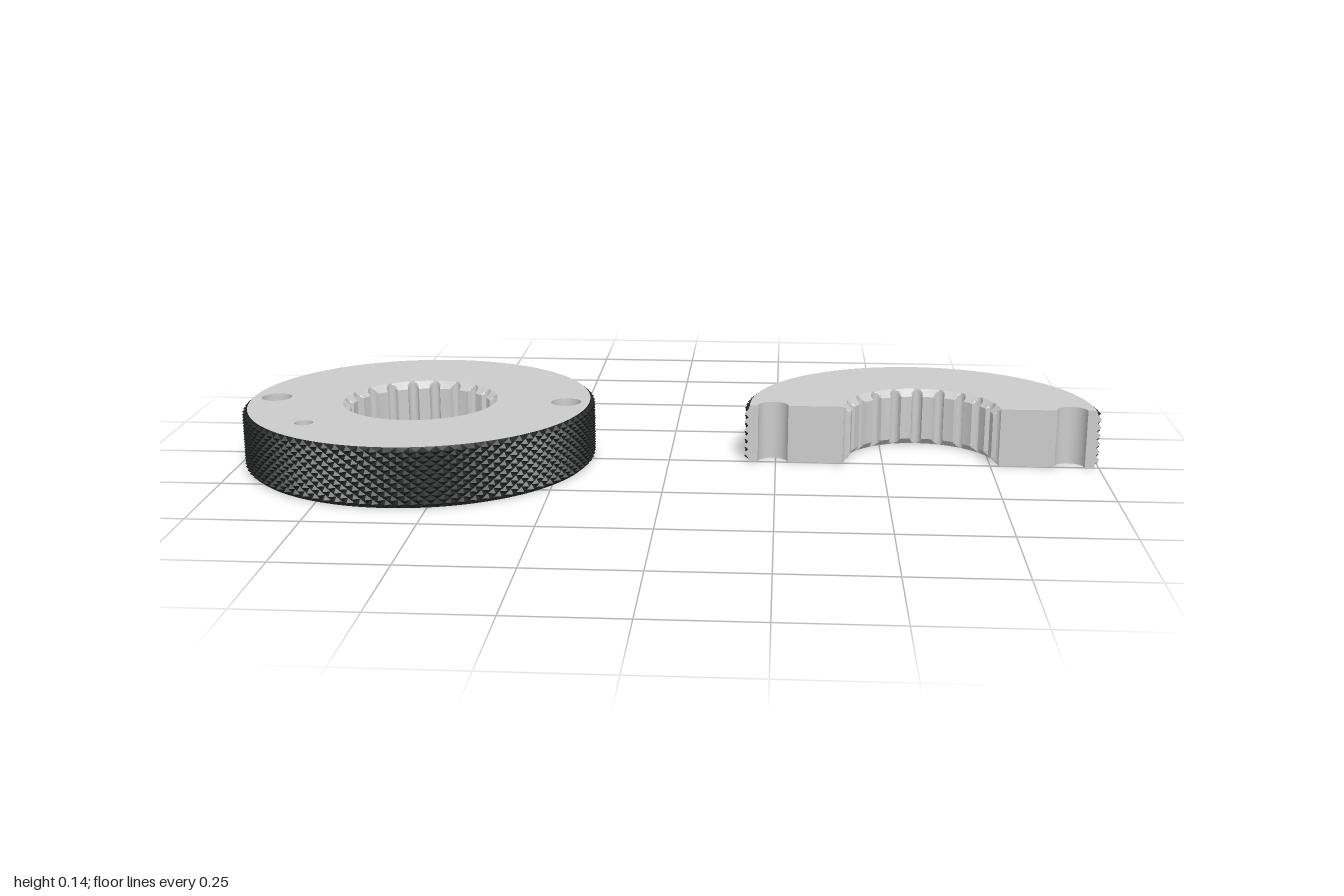
import * as THREE from 'three';

const H = 0.137, RIM = 0.4, PEAK = 0.412, VALLEY = 0.403;
const BORE = 0.181, LAND = 0.165, TEETH = 20;
const HOLE_X = 0.345, HOLE_R = 0.035;
const PIN = { x: -0.222, z: 0.219, r: 0.021, depth: 0.07 };
const STEPS = 180, ROWS = 14; // knurl grid, two steps per diamond

const steel = new THREE.MeshStandardMaterial({ color: 0xcccccc, flatShading: true });
const smoothSteel = new THREE.MeshStandardMaterial({ color: 0xcccccc, side: THREE.DoubleSide });
const black = new THREE.MeshStandardMaterial({ color: 0x222424, flatShading: true });

const rimLevels = Array.from({ length: ROWS + 1 }, (_, j) => (j / ROWS) * H);
const bevel = [0, 0.004, 0.008, 0.012, 0.016];
const boreLevels = [...bevel, ...bevel.map(y => H - y).reverse()];

// Raised diamond peaks on even grid points, chamfered at both ends
function rimRadius(i, j) {
  if (j === 0 || j === ROWS) return RIM;
  return (i + j) % 2 === 0 ? PEAK : VALLEY;
}

// Round grooves between flat lands, with a conical lead-in at both ends
function boreRadius(angle, y) {
  const groove = Math.sqrt(Math.max(0, Math.cos(TEETH * angle)));
  const cone = BORE - Math.min(y, H - y);
  return Math.max(LAND + (BORE - LAND) * groove, cone);
}

// Wall swept around the y axis; the quad diagonals alternate to follow the knurl
function wall(radius, sweep, steps, levels, inward) {
  const pos = [], index = [], w = steps + 1;
  levels.forEach((y, j) => {
    for (let i = 0; i <= steps; i++) {
      const a = (i / steps) * sweep, r = radius(i, j, a, y);
      pos.push(r * Math.cos(a), y, -r * Math.sin(a));
    }
  });
  const tri = (a, b, c) => inward ? index.push(a, c, b) : index.push(a, b, c);
  for (let j = 0; j < levels.length - 1; j++) {
    for (let i = 0; i < steps; i++) {
      const a = j * w + i, b = a + 1, c = b + w, d = a + w;
      if ((i + j) % 2 === 0) { tri(a, b, d); tri(b, c, d); }
      else { tri(a, b, c); tri(a, c, d); }
    }
  }
  const g = new THREE.BufferGeometry();
  g.setAttribute('position', new THREE.Float32BufferAttribute(pos, 3));
  g.setIndex(index);
  g.computeVertexNormals();
  return g;
}

function add(group, name, geometry, material) {
  const mesh = new THREE.Mesh(geometry, material);
  mesh.name = name;
  group.add(mesh);
  return mesh;
}

const circle = (x, y, r) => new THREE.Path().absarc(x, y, r, 0, Math.PI * 2, true);

// Outline of the flat face: whole ring, or half ring with notches
function faceShape(half, pin) {
  const s = new THREE.Shape();
  if (half) {
    s.absarc(0, 0, RIM, 0, Math.PI, false);
    s.absarc(-HOLE_X, 0, HOLE_R, Math.PI, 0, true);
    s.absarc(0, 0, BORE, Math.PI, 0, true);
    s.absarc(HOLE_X, 0, HOLE_R, Math.PI, 0, true);
  } else {
    s.absarc(0, 0, RIM, 0, Math.PI * 2, false);
    s.holes.push(circle(0, 0, BORE), circle(HOLE_X, 0, HOLE_R), circle(-HOLE_X, 0, HOLE_R));
    if (pin) s.holes.push(circle(PIN.x, -PIN.z, PIN.r));
  }
  return s;
}

function makeRing(name, half) {
  const ring = new THREE.Group();
  ring.name = name;
  const part = half ? 0.5 : 1, sweep = Math.PI * 2 * part;

  add(ring, 'knurledRim', wall(rimRadius, sweep, STEPS * part, rimLevels, false), black);
  add(ring, 'splinedBore',
    wall((i, j, a, y) => boreRadius(a, y), sweep, TEETH * 16 * part, boreLevels, true), steel);

  // Flat faces
  const top = new THREE.ShapeGeometry(faceShape(half, true), 90);
  top.rotateX(-Math.PI / 2).translate(0, H, 0);
  add(ring, 'topFace', top, steel);
  const bottom = new THREE.ShapeGeometry(faceShape(half, false), 90);
  bottom.rotateX(-Math.PI / 2);
  bottom.index.array.reverse();
  bottom.computeVertexNormals();
  add(ring, 'bottomFace', bottom, steel);

  for (const side of [-1, 1]) {
    // Through holes, halved by the cut
    const hole = new THREE.CylinderGeometry(HOLE_R, HOLE_R, H, 48, 1, true,
      half ? Math.PI / 2 : 0, sweep);
    add(ring, 'boltHole', hole, smoothSteel).position.set(side * HOLE_X, H / 2, 0);
    if (!half) continue;

    // Cut faces on either side of the hole
    const point = (x, y) => new THREE.Vector2(side * x, y);
    const outer = rimLevels.map((y, j) => point(rimRadius(0, j), y));
    outer.push(point(HOLE_X + HOLE_R, H), point(HOLE_X + HOLE_R, 0));
    const inner = [point(BORE, 0), point(HOLE_X - HOLE_R, 0),
      point(HOLE_X - HOLE_R, H), point(BORE, H)];
    for (const outline of [outer, inner]) {
      add(ring, 'cutFace', new THREE.ShapeGeometry(new THREE.Shape(outline)), steel);
    }
  }

  // Blind pin hole in the front half
  if (!half) {
    const pin = new THREE.CylinderGeometry(PIN.r, PIN.r, PIN.depth, 32, 1, true);
    add(ring, 'pinHole', pin, smoothSteel).position.set(PIN.x, H - PIN.depth / 2, PIN.z);
    const floor = new THREE.CircleGeometry(PIN.r, 32).rotateX(-Math.PI / 2);
    add(ring, 'pinHoleFloor', floor, steel).position.set(PIN.x, H - PIN.depth, PIN.z);
  }
  return ring;
}

export function createModel() {
  const model = new THREE.Group();
  model.name = 'knurledRings';
  const whole = makeRing('wholeRing', false);
  whole.position.x = PEAK - 1;
  const half = makeRing('halfRing', true);
  half.position.x = 1 - PEAK;
  model.add(whole, half);
  return model;
}
